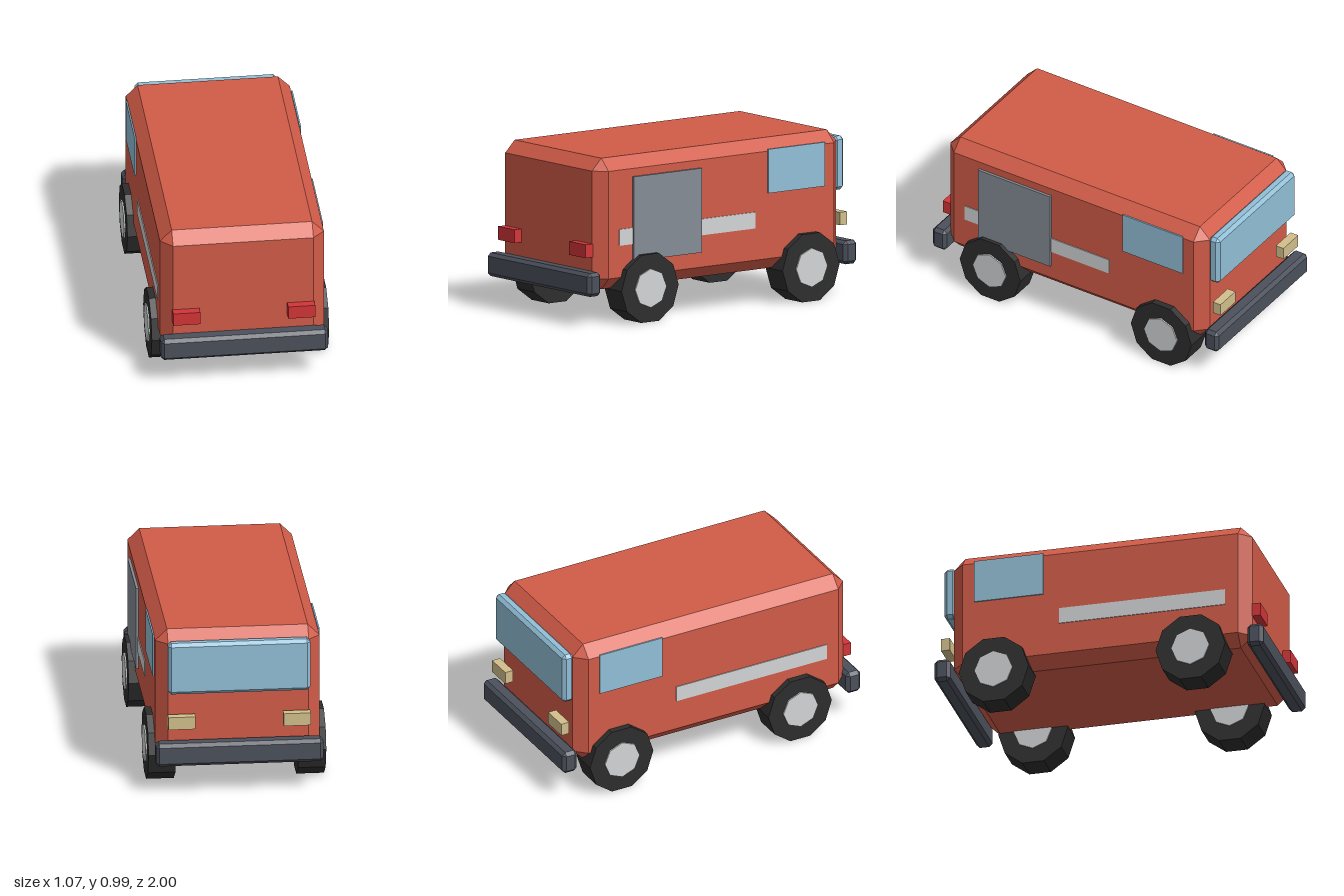
import * as THREE from 'three';
import { ConvexGeometry } from 'three/addons/geometries/ConvexGeometry.js';

const paint = (name, color) => {
  const m = new THREE.MeshStandardMaterial({ color });
  m.name = name;
  return m;
};

// Box given by its [min, max] on each axis, with every edge cut by c
function chamferBox([x0, x1], [y0, y1], [z0, z1], c) {
  const half = [(x1 - x0) / 2, (y1 - y0) / 2, (z1 - z0) / 2];
  const points = [];
  for (const sx of [-1, 1]) for (const sy of [-1, 1]) for (const sz of [-1, 1])
    for (let axis = 0; axis < 3; axis++) {
      const p = half.map((h, i) => (i === axis ? h : h - c));
      points.push(new THREE.Vector3(sx * p[0], sy * p[1], sz * p[2]));
    }
  return new ConvexGeometry(points).translate((x0 + x1) / 2, (y0 + y1) / 2, (z0 + z1) / 2);
}

function box([x0, x1], [y0, y1], [z0, z1]) {
  return new THREE.BoxGeometry(x1 - x0, y1 - y0, z1 - z0)
    .translate((x0 + x1) / 2, (y0 + y1) / 2, (z0 + z1) / 2);
}

export function createModel() {
  const van = new THREE.Group();
  van.name = 'van';

  const red = paint('body red', 0xd15b48);
  const glass = paint('window blue', 0x92bfd7);
  const slate = paint('bumper slate', 0x4b505b);
  const black = paint('tyre black', 0x2d2d2d);
  const silver = paint('hub and stripe silver', 0xd2d4d5);
  const grey = paint('door grey', 0x858c95);
  const tail = paint('tail light red', 0xd33538);
  const cream = paint('headlight cream', 0xd2bf8c);
  for (const m of [black, silver]) m.flatShading = true;

  const add = (name, geometry, material, parent = van) => {
    const mesh = new THREE.Mesh(geometry, material);
    mesh.name = name;
    parent.add(mesh);
    return mesh;
  };

  // Body shell, windscreen and bumpers
  add('body', chamferBox([-0.485, 0.485], [0.21, 0.99], [-0.897, 0.918], 0.07), red);
  add('windscreen', chamferBox([-0.42, 0.42], [0.62, 0.94], [-0.96, -0.886], 0.02), glass);
  add('tailBumper', chamferBox([-0.495, 0.495], [0.185, 0.325], [0.903, 1], 0.02), slate);
  add('noseBumper', chamferBox([-0.495, 0.495], [0.185, 0.325], [-1, -0.903], 0.02), slate);

  // Sliding door on one side only
  add('slidingDoor', box([0.477, 0.501], [0.37, 0.872], [0.165, 0.67]), grey);

  for (const side of [-1, 1]) {
    const label = side > 0 ? 'left' : 'right';
    const span = (a, b) => (side > 0 ? [a, b] : [-b, -a]);

    // Side glass, stripe and lamps
    add(label + 'Window', box(span(0.484, 0.493), [0.67, 0.932], [-0.755, -0.335]), glass);
    add(label + 'Stripe', box(span(0.482, 0.49), [0.47, 0.567], [-0.24, 0.77]), silver);
    add(label + 'TailLight', box(span(0.26, 0.42), [0.407, 0.487], [0.915, 0.968]), tail);
    add(label + 'Headlight', box(span(0.26, 0.42), [0.41, 0.487], [-0.975, -0.922]), cream);

    // Wheels: ten-sided tyre with an eight-sided hub showing on both faces
    for (const [end, z] of [['Tail', 0.57], ['Nose', -0.627]]) {
      const wheel = new THREE.Group();
      wheel.name = label + end + 'Wheel';
      wheel.position.set(side * 0.443, 0.203, z);
      add('tyre', new THREE.CylinderGeometry(0.212, 0.212, 0.163, 10).rotateZ(Math.PI / 2), black, wheel);
      add('hub', new THREE.CylinderGeometry(0.116, 0.116, 0.18, 8).rotateZ(Math.PI / 2), silver, wheel);
      van.add(wheel);
    }
  }
  return van;
}
